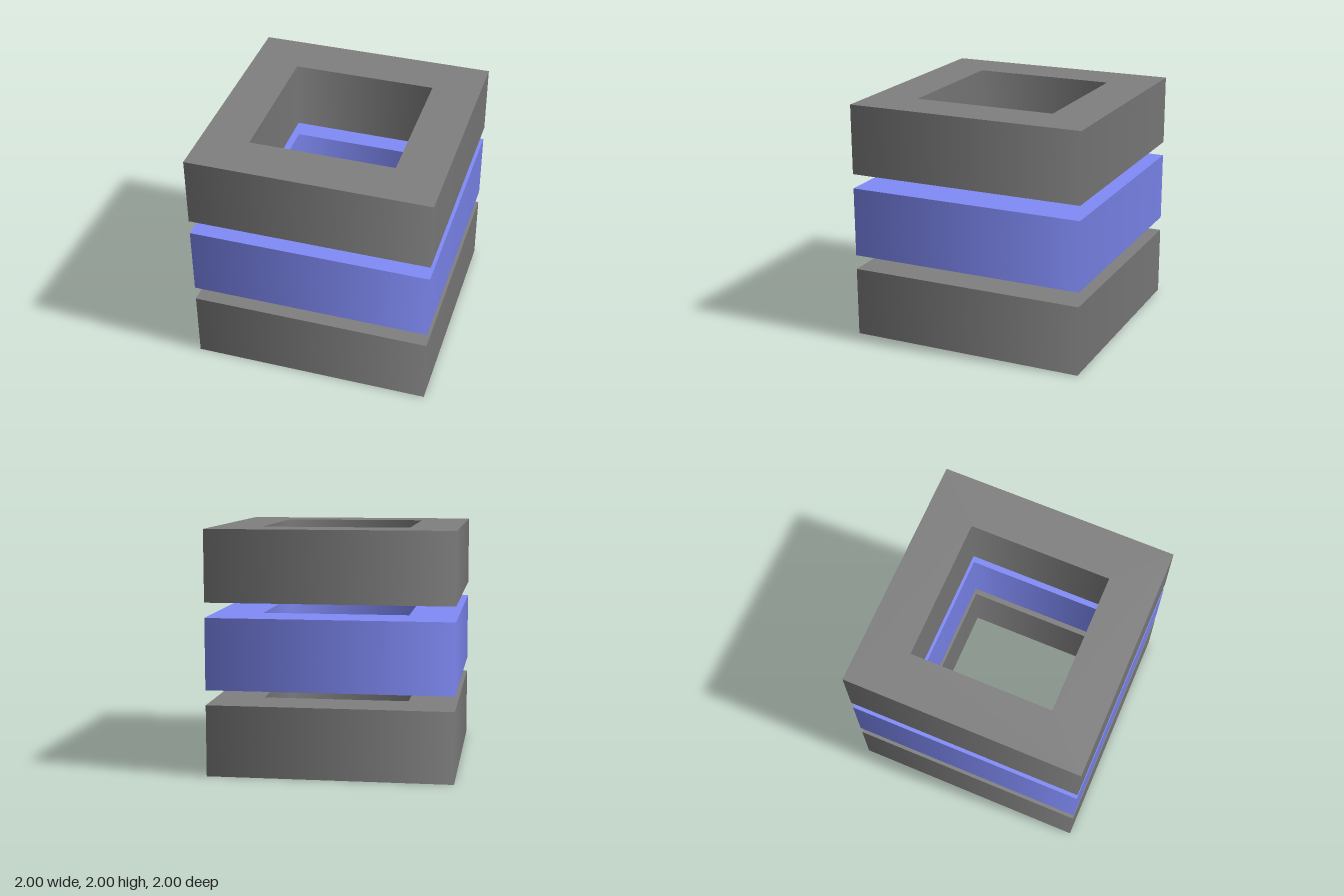
import * as THREE from 'three';
import { mergeGeometries } from 'three/addons/utils/BufferGeometryUtils.js';

const OUTER = 1, INNER = 0.6, HEIGHT = 0.585;

// Square ring: four-sided lathe strips, smooth around the walls, sharp at the rims
function squareRing(height) {
  const ro = OUTER * Math.SQRT2, ri = INNER * Math.SQRT2;
  const profile = [[ro, 0], [ro, height], [ri, height], [ri, 0]]
    .map(([r, y]) => new THREE.Vector2(r, y));
  const strips = profile.map((p, i) =>
    new THREE.LatheGeometry([p, profile[(i + 1) % 4]], 4, Math.PI / 4));
  return mergeGeometries(strips);
}

export function createModel() {
  const model = new THREE.Group();
  model.name = 'stackedSquareRings';

  const geometry = squareRing(HEIGHT);
  const grey = new THREE.MeshStandardMaterial({ color: 0x808080 });
  const blue = new THREE.MeshStandardMaterial({ color: 0x818cf8 });

  // Three equal rings with even gaps between them
  const rings = [['bottomRing', grey], ['middleRing', blue], ['topRing', grey]];
  const step = (2 - HEIGHT) / 2;
  rings.forEach(([name, material], i) => {
    const ring = new THREE.Mesh(geometry, material);
    ring.name = name;
    ring.position.y = i * step;
    model.add(ring);
  });
  return model;
}
